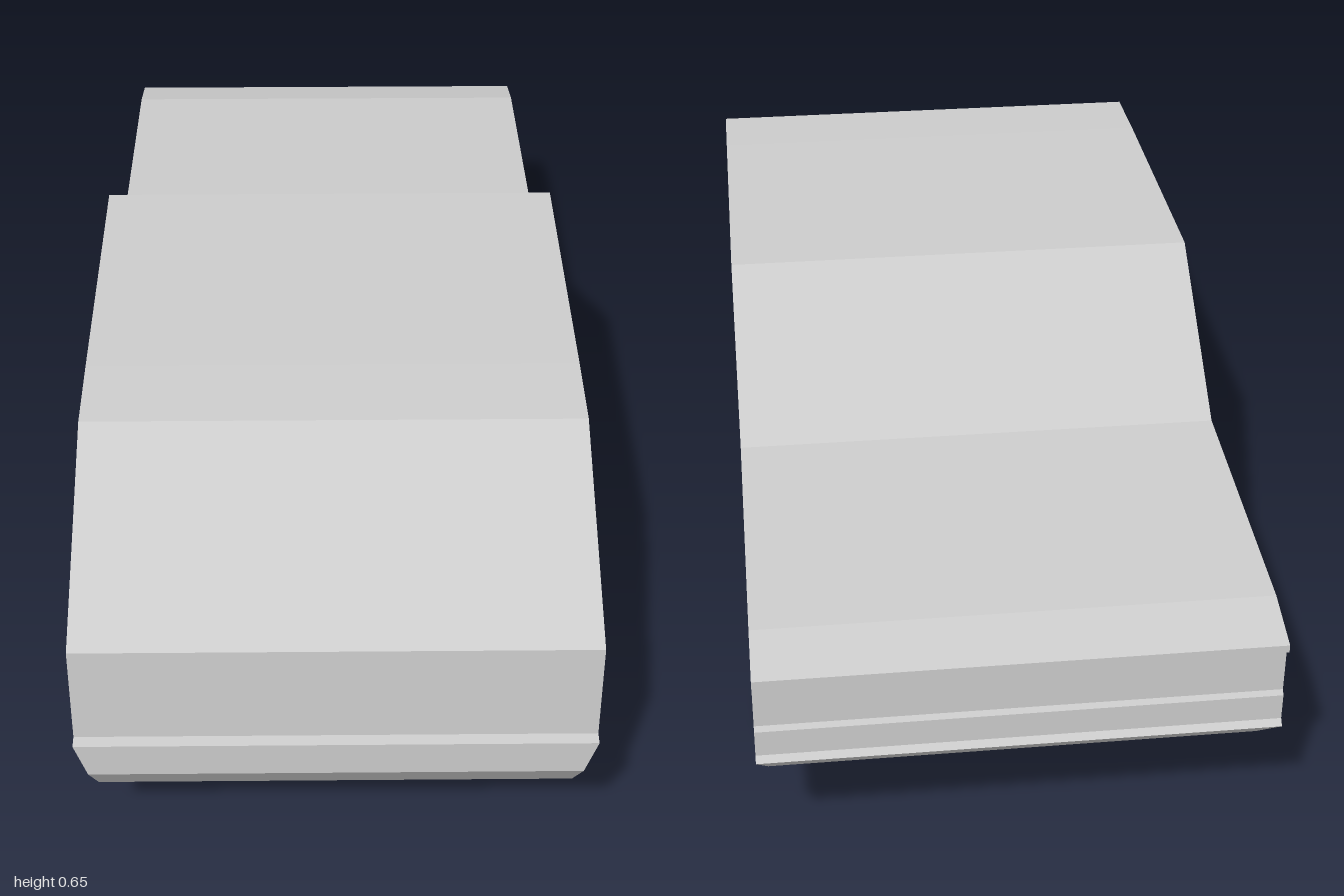
import * as THREE from 'three';

const HALF = 0.427;      // body half width
const WELL = 0.21;       // half width between the wheel wells
const TYRE_R = 0.145;

const grey = new THREE.MeshStandardMaterial({ color: 0xcccccc });
const flat = new THREE.MeshStandardMaterial({ color: 0xcccccc, flatShading: true });

// Wheel arch outlines as [z, y], running from the +z side to the -z side
const frontArch = [[0.823, 0.133], [0.787, 0.29], [0.735, 0.305], [0.62, 0.311], [0.545, 0.255], [0.475, 0.115]];
const rearArch = [[-0.43, 0.115], [-0.457, 0.255], [-0.525, 0.3], [-0.66, 0.311], [-0.735, 0.265], [-0.75, 0.225], [-0.765, 0.15]];

// Extrudes a [z, y] side outline across x; taper lists [y, half width] from top to bottom
function slab(name, outline, half, taper) {
  const shape = new THREE.Shape(outline.map(([z, y]) => new THREE.Vector2(z, y)));
  const geo = new THREE.ExtrudeGeometry(shape, { depth: 2 * half, bevelEnabled: false });
  geo.translate(0, 0, -half).rotateY(-Math.PI / 2);
  if (taper) {
    const p = geo.attributes.position;
    for (let i = 0; i < p.count; i++) {
      const y = p.getY(i);
      let w = taper[taper.length - 1][1];
      for (let k = taper.length - 2; k >= 0; k--) {
        const [y0, w0] = taper[k], [y1, w1] = taper[k + 1];
        if (y >= y1) w = THREE.MathUtils.lerp(w1, w0, Math.min(1, (y - y1) / (y0 - y1)));
      }
      p.setX(i, Math.sign(p.getX(i)) * w);
    }
    geo.computeVertexNormals();
  }
  const mesh = new THREE.Mesh(geo, flat);
  mesh.name = name;
  return mesh;
}

function wheel(side, z, name) {
  const group = new THREE.Group();
  group.name = name;
  const tyre = new THREE.Mesh(new THREE.CylinderGeometry(TYRE_R, TYRE_R, 0.113, 40), grey);
  tyre.name = 'tyre';
  tyre.position.x = side * 0.3675;
  const axle = new THREE.Mesh(new THREE.CylinderGeometry(0.022, 0.022, 0.13, 16), grey);
  axle.name = 'axleStub';
  axle.position.x = side * 0.26;
  for (const part of [tyre, axle]) {
    part.rotation.z = Math.PI / 2;
    group.add(part);
  }
  group.position.set(0, TYRE_R, z);
  return group;
}

export function createModel() {
  const car = new THREE.Group();
  car.name = 'car';

  // Upper shell: nose, windscreen, roof, rear deck, and the tops of the arches
  car.add(slab('upperBody', [
    [1, 0.29], [0.98, 0.292], [0.97, 0.47], [0.6, 0.645], [0.45, 0.65], [-0.1, 0.654],
    [-0.4, 0.442], [-0.9, 0.415], [-1, 0.39], [-1, 0.376], [-0.985, 0.372], [-0.985, 0.29],
    [-0.991, 0.282], [-0.991, 0.235], [-1, 0.225],
    ...rearArch.slice(1, 6).reverse(),
    ...frontArch.slice(1, 5).reverse(),
  ], HALF));

  // Lower shell, narrowing towards the ground
  car.add(slab('frontBumper', [
    [1, 0.29], [1, 0.225], [0.93, 0.13], frontArch[0], frontArch[1],
  ], HALF, [[0.29, HALF], [0.225, 0.406], [0.13, 0.4]]));
  car.add(slab('sills', [
    frontArch[4], frontArch[5], rearArch[0], rearArch[1],
  ], HALF, [[0.255, HALF], [0.115, 0.412]]));
  car.add(slab('rearBumper', [
    rearArch[5], rearArch[6], [-0.92, 0.15], [-1, 0.225],
  ], HALF, [[0.225, HALF], [0.15, 0.408]]));

  // Underbody between the wheel wells
  car.add(slab('frontUnderbody', frontArch, WELL));
  car.add(slab('rearUnderbody', rearArch, WELL));

  // Wheels
  for (const [side, label] of [[1, 'left'], [-1, 'right']]) {
    car.add(wheel(side, 0.67, label + 'FrontWheel'));
    car.add(wheel(side, -0.605, label + 'RearWheel'));
  }
  return car;
}
